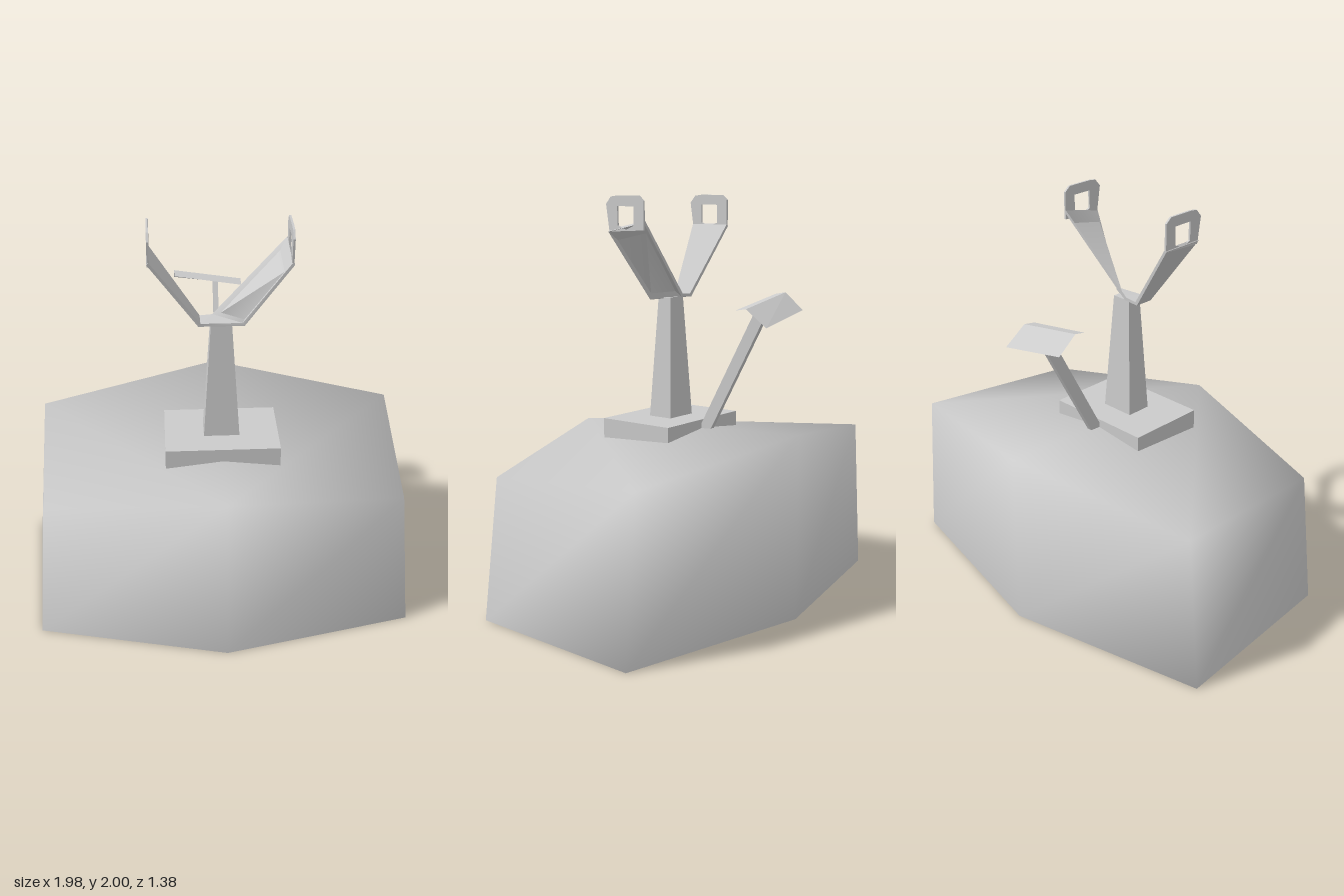
import * as THREE from 'three';
import { toCreasedNormals } from 'three/addons/utils/BufferGeometryUtils.js';

const smooth = new THREE.MeshStandardMaterial({ color: 0xcccccc, side: THREE.DoubleSide });
const flat = new THREE.MeshStandardMaterial({ color: 0xcccccc, side: THREE.DoubleSide, flatShading: true });

function buildGeometry(points, index) {
  const g = new THREE.BufferGeometry();
  g.setAttribute('position', new THREE.Float32BufferAttribute(points.flat(), 3));
  g.setIndex(index);
  g.computeVertexNormals();
  return g;
}

function add(parent, name, geometry, material = flat) {
  const mesh = new THREE.Mesh(geometry, material);
  mesh.name = name;
  parent.add(mesh);
  return mesh;
}

// Hollow six-sided mound with a ridged, sloping roof, open underneath
function moundGeometry() {
  const base = [[0, 0, 0.69], [0.92, 0, 0.47], [0.99, 0, -0.47], [0, 0, -0.69], [-0.99, 0, -0.47], [-0.92, 0, 0.47]];
  const rim = [[0, 0.825, 0.63], [0.87, 0.7, 0.42], [0.92, 0.78, -0.47], [0, 0.9, -0.69], [-0.92, 0.78, -0.47], [-0.87, 0.7, 0.42]];
  const index = [];
  for (let i = 0; i < 6; i++) {
    const j = (i + 1) % 6;
    index.push(i, j, j + 6, i, j + 6, i + 6);
  }
  for (let i = 1; i < 5; i++) index.push(6, 6 + i, 7 + i);
  return buildGeometry([...base, ...rim], index);
}

// Thin bent strap: each station has a front and a back edge point plus an outward offset
function strapGeometry(stations) {
  const points = [], index = [];
  for (const { front, back, offset } of stations) {
    const shift = (p) => [p[0] + offset[0], p[1] + offset[1], p[2]];
    points.push(front, back, shift(back), shift(front));
  }
  for (let s = 0; s < stations.length - 1; s++) {
    for (let k = 0; k < 4; k++) {
      const a = s * 4 + k, b = s * 4 + (k + 1) % 4;
      index.push(a, a + 4, b + 4, a, b + 4, b);
    }
  }
  const e = points.length - 4;
  index.push(0, 1, 2, 0, 2, 3, e, e + 2, e + 1, e, e + 3, e + 2);
  return toCreasedNormals(buildGeometry(points, index), Math.PI / 4);
}

// Eyelet plate with a five-sided hole, drawn in (-z, y)
function eyeletGeometry() {
  const toPoints = (list) => list.map(([z, y]) => new THREE.Vector2(-z, y));
  const shape = new THREE.Shape(toPoints([
    [0.18, 1.83], [0.2, 1.96], [0.17, 1.995], [0.13, 2], [0, 2], [-0.03, 1.975], [-0.03, 1.84]]));
  shape.holes.push(new THREE.Path(toPoints([[0.13, 1.95], [0.03, 1.95], [0.03, 1.86], [0.08, 1.84], [0.13, 1.86]])));
  const g = new THREE.ExtrudeGeometry(shape, { depth: 0.01, bevelEnabled: false });
  g.rotateY(Math.PI / 2);
  g.translate(-0.005, 0, 0);
  return g;
}

export function createModel() {
  const model = new THREE.Group();

  add(model, 'mound', moundGeometry(), smooth);

  // Footing block and tapered square post
  add(model, 'footing', new THREE.BoxGeometry(0.56, 0.12, 0.405)).position.set(0, 0.85, 0.0675);
  const post = add(model, 'post', new THREE.CylinderGeometry(0.05 * Math.SQRT2, 0.088 * Math.SQRT2, 0.6, 4, 1, false, Math.PI / 4));
  post.scale.z = 0.74;
  post.position.set(0, 1.205, 0.068);

  // Forked strap; the left arm twists along its back edge
  const fork = new THREE.Group();
  fork.name = 'fork';
  model.add(fork);
  add(fork, 'forkStrap', strapGeometry([
    { front: [-0.335, 1.855, 0.185], back: [-0.335, 1.855, -0.03], offset: [-0.01, -0.01] },
    { front: [-0.1, 1.515, 0.12], back: [-0.1, 1.515, 0.025], offset: [-0.01, -0.015] },
    { front: [0.1, 1.51, 0.11], back: [-0.04, 1.52, 0.025], offset: [0.01, -0.015] },
    { front: [0.32, 1.84, 0.185], back: [0.315, 1.885, -0.03], offset: [0.01, -0.01] },
  ]), smooth);
  for (const [name, x] of [['rightEyelet', -0.337], ['leftEyelet', 0.322]]) {
    add(fork, name, eyeletGeometry()).position.x = x;
  }

  // Leaning lever behind the post
  const foot = new THREE.Vector3(0, 0.84, -0.14), tip = new THREE.Vector3(0, 1.475, -0.485);
  const lever = add(model, 'lever', new THREE.BoxGeometry(0.025, foot.distanceTo(tip), 0.06));
  lever.position.copy(foot).add(tip).multiplyScalar(0.5);
  lever.rotation.x = Math.atan2(tip.z - foot.z, tip.y - foot.y);

  // Thin folded pedal plate on the lever
  add(model, 'pedal', buildGeometry([
    [-0.21, 1.53, -0.415], [0.13, 1.475, -0.415],
    [-0.21, 1.54, -0.47], [0.13, 1.485, -0.475],
    [-0.21, 1.46, -0.57], [0.13, 1.405, -0.59],
  ], [0, 1, 3, 0, 3, 2, 2, 3, 5, 2, 5, 4]));

  return model;
}
